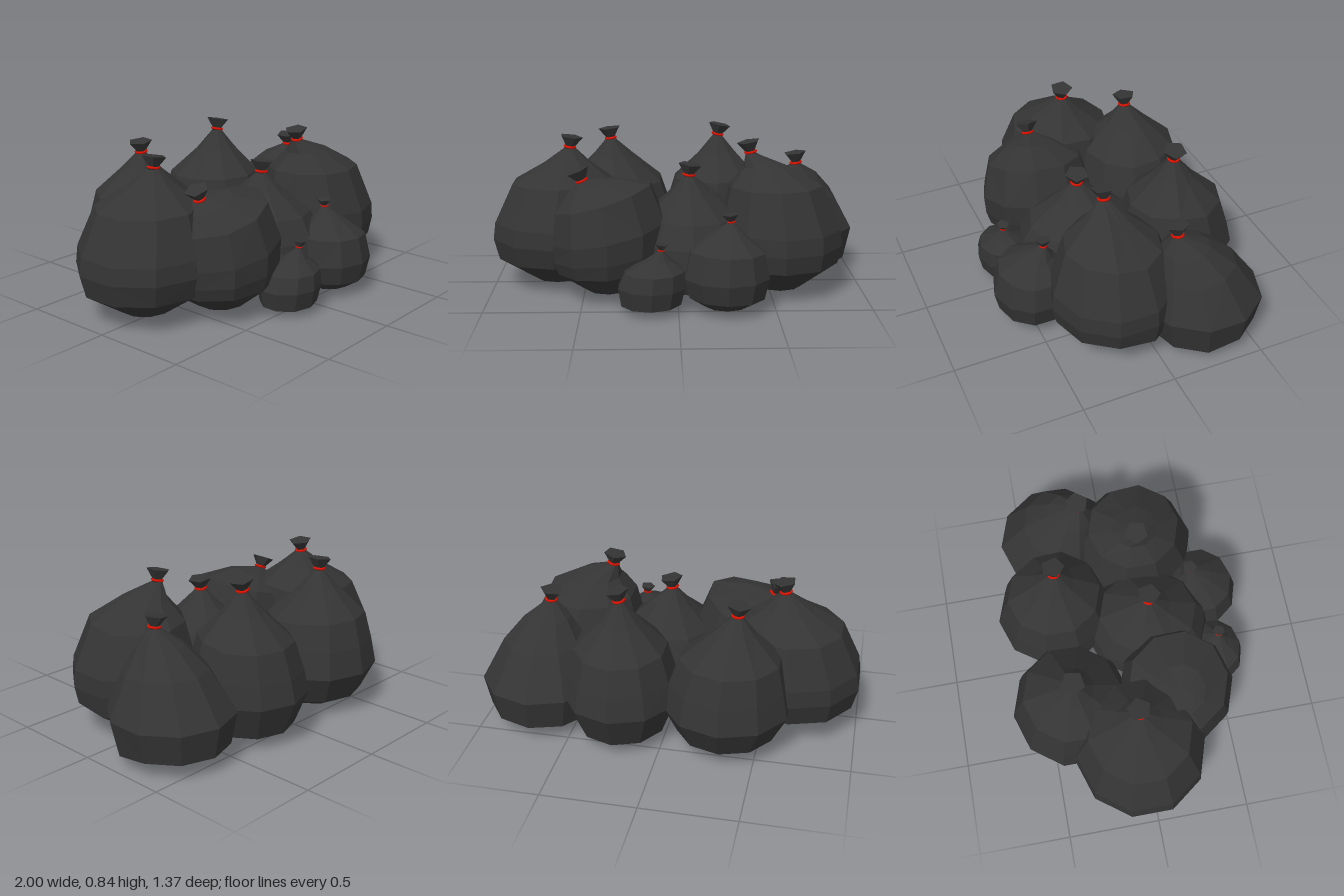
import * as THREE from 'three';

const SIDES = 10;
const plastic = new THREE.MeshStandardMaterial({ color: 0x343434, flatShading: true, side: THREE.DoubleSide });
const tieRed = new THREE.MeshStandardMaterial({ color: 0xdd1100 });

// Body profiles: [height as a share of the neck height, share of the radius]
const PROFILES = {
  tall: [[0.015, 0], [0.05, 0.45], [0.11, 0.77], [0.33, 1], [0.5, 0.93], [0.69, 0.77], [0.87, 0.35], [1, 0.08]],
  round: [[0.005, 0], [0.04, 0.37], [0.22, 0.92], [0.36, 1], [0.48, 0.98], [0.77, 0.75], [0.9, 0.37], [1, 0.08]],
  slumped: [[0.03, 0], [0.06, 0.45], [0.13, 0.87], [0.4, 1], [0.71, 0.67], [0.88, 0.38], [1, 0.08]],
  bulky: [[0.03, 0], [0.07, 0.42], [0.25, 0.88], [0.4, 0.98], [0.58, 1], [0.86, 0.86], [0.96, 0.42], [1, 0.08]],
  squat: [[0.05, 0], [0.07, 0.5], [0.17, 0.87], [0.42, 1], [0.7, 0.85], [0.86, 0.43], [1, 0.07]],
};

// c: body centre x, z; r: radii x, z; neck: tie position; tilt: knot lean;
// slope: sideways rise of the shoulder; bend: how late the body leans to its neck
const BAGS = [
  { name: 'leftEndBag', c: [-0.655, -0.04], r: [0.363, 0.355], neck: [-0.58, 0.755, -0.04], tilt: -0.15, shape: 'round' },
  { name: 'backLeftBag', c: [-0.33, -0.36], r: [0.34, 0.33], neck: [-0.37, 0.75, -0.34], tilt: 0.12, shape: 'tall' },
  { name: 'backMiddleBag', c: [0.23, -0.365], r: [0.312, 0.325], neck: [0.24, 0.77, -0.34], tilt: -0.2, shape: 'tall' },
  { name: 'backRightBag', c: [0.69, -0.295], r: [0.326, 0.325], neck: [0.67, 0.64, -0.15], tilt: 0.15, shape: 'slumped' },
  { name: 'rightBag', c: [0.55, 0.14], r: [0.338, 0.335], neck: [0.39, 0.755, 0.125], tilt: 0.2, shape: 'round', bend: 7 },
  { name: 'centreBag', c: [0.08, 0.135], r: [0.32, 0.355], neck: [0.06, 0.635, 0.135], tilt: -0.15, shape: 'tall' },
  { name: 'frontLeftBag', c: [-0.36, 0.21], r: [0.308, 0.315], neck: [-0.5, 0.62, 0.2], tilt: 0.4, shape: 'bulky', slope: 0.36, bend: 10 },
  { name: 'smallFrontBag', c: [-0.14, 0.485], r: [0.178, 0.16], neck: [-0.09, 0.33, 0.51], tilt: -0.15, shape: 'squat', knot: 0.55 },
  { name: 'mediumFrontBag', c: [0.245, 0.475], r: [0.225, 0.21], neck: [0.27, 0.45, 0.41], tilt: 0.1, shape: 'squat', knot: 0.65, bend: 6 },
];

// Small repeatable wobble in -1..1
const wobble = (a, b, c) => Math.sin(a * 12.9 + b * 78.2 + c * 37.7);

// Faceted body: rings that slide from the body centre to the neck
function bodyGeometry(bag, seed) {
  const rings = PROFILES[bag.shape];
  const [nx, ny, nz] = bag.neck;
  const positions = [], index = [];
  rings.forEach(([t, s], k) => {
    const lean = t ** (bag.bend || 3);
    const cx = THREE.MathUtils.lerp(bag.c[0], nx, lean);
    const cz = THREE.MathUtils.lerp(bag.c[1], nz, lean);
    const loose = k > 1 && s > 0.3 && s < 0.95 ? 1 : 0;
    for (let i = 0; i < SIDES; i++) {
      const a = ((i + 0.5) / SIDES) * Math.PI * 2;
      const rad = s * (1 + 0.03 * loose * wobble(seed, k, i));
      const dx = Math.cos(a) * bag.r[0] * rad;
      const dz = Math.sin(a) * bag.r[1] * rad;
      const dy = loose * 0.012 * wobble(i, seed, k) + (bag.slope || 0) * dx * t;
      positions.push(cx + dx, Math.max(0, t * ny + dy), cz + dz);
    }
  });
  for (let k = 0; k < rings.length - 1; k++) {
    for (let i = 0; i < SIDES; i++) {
      const j = (i + 1) % SIDES;
      const a = k * SIDES + i, b = k * SIDES + j;
      const c = a + SIDES, d = b + SIDES;
      // Alternate the diagonals for a crumpled look
      if (k === 0) index.push(a, c, d);
      else if ((i + k) % 2) index.push(a, c, d, a, d, b);
      else index.push(a, c, b, b, c, d);
    }
  }
  const geo = new THREE.BufferGeometry();
  geo.setAttribute('position', new THREE.Float32BufferAttribute(positions, 3));
  geo.setIndex(index);
  geo.computeVertexNormals();
  return geo;
}

function addMesh(parent, name, geometry, material, y = 0) {
  const mesh = new THREE.Mesh(geometry, material);
  mesh.name = name;
  mesh.position.y = y;
  parent.add(mesh);
  return mesh;
}

function makeBag(bag, seed) {
  const group = new THREE.Group();
  group.name = bag.name;
  addMesh(group, 'bagBody', bodyGeometry(bag, seed), plastic);

  // Red tie and the flared, five-sided gathered end above it
  const top = new THREE.Group();
  top.name = 'tiedTop';
  top.position.set(...bag.neck);
  top.rotation.z = bag.tilt;
  top.scale.setScalar(bag.knot || 1);
  addMesh(top, 'tie', new THREE.TorusGeometry(0.028, 0.007, 6, 14).rotateX(Math.PI / 2), tieRed, 0.006);
  const flare = addMesh(top, 'gatheredEnd', new THREE.CylinderGeometry(0.064, 0.024, 0.056, 5), plastic, 0.035);
  flare.rotation.y = seed * 0.4;
  group.add(top);
  return group;
}

export function createModel() {
  const model = new THREE.Group();
  model.name = 'rubbishBagPile';
  BAGS.forEach((bag, i) => model.add(makeBag(bag, i + 1)));
  return model;
}
